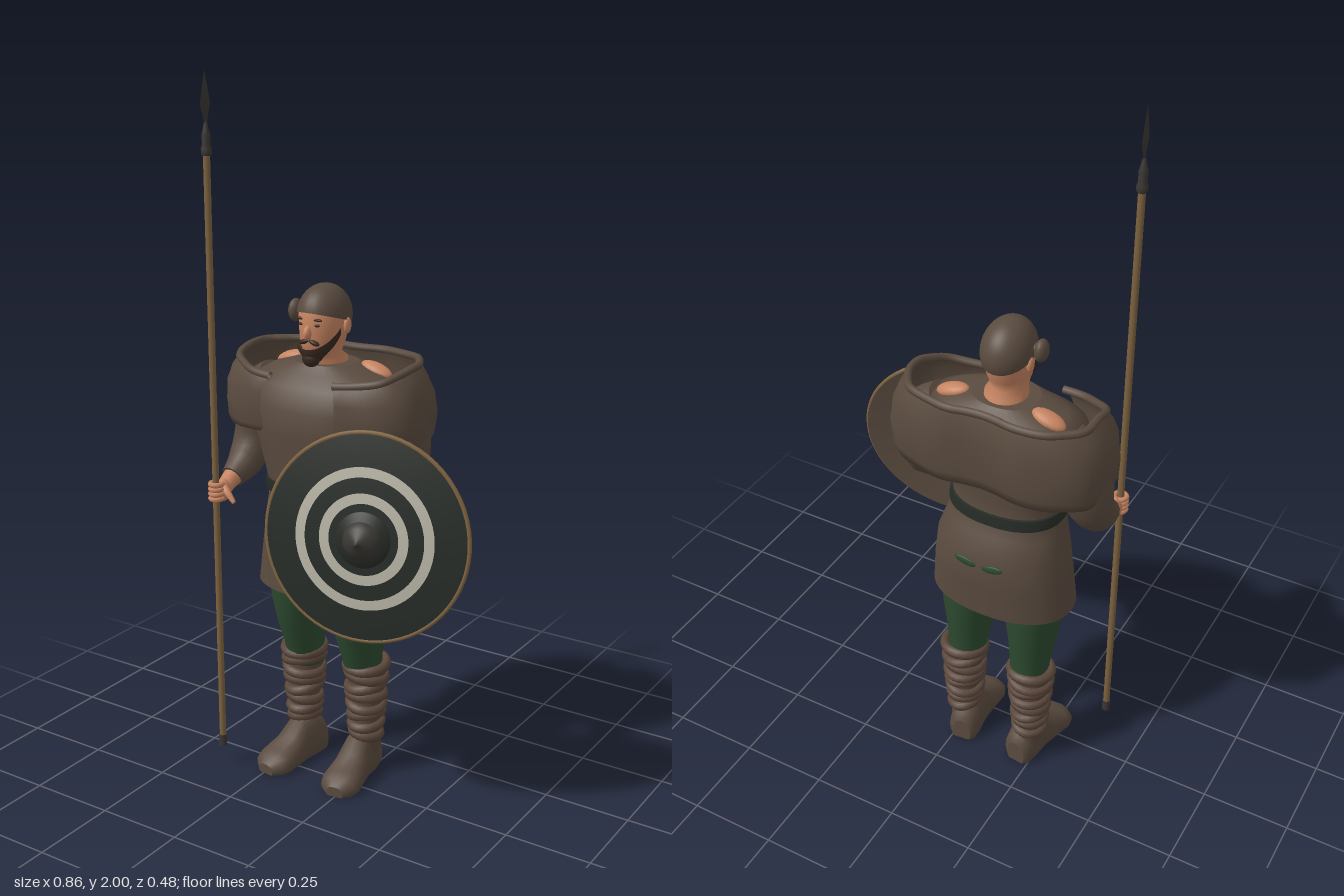
import * as THREE from 'three';

const V = (x, y, z) => new THREE.Vector3(x, y, z);
const CX = -0.122; // body centre line
const mat = (name, color, side = THREE.FrontSide) => {
  const m = new THREE.MeshStandardMaterial({ color, side });
  m.name = name;
  return m;
};

// Skin a list of rings (ordered along the path); caps both ends when closed.
function skin(rows, closed = true) {
  const pos = [], idx = [];
  const strip = (rs) => {
    const base = pos.length / 3, n = rs[0].length;
    rs.forEach((r) => r.forEach((p) => pos.push(p.x, p.y, p.z)));
    for (let i = 0; i < rs.length - 1; i++)
      for (let j = 0; j < (closed ? n : n - 1); j++) {
        const k = (j + 1) % n;
        const a = base + i * n + j, b = base + i * n + k;
        idx.push(a, b, b + n, a, b + n, a + n);
      }
  };
  const centre = (r) => {
    const c = r.reduce((s, p) => s.add(p), V(0, 0, 0)).divideScalar(r.length);
    return r.map(() => c.clone());
  };
  strip(rows);
  if (closed) {
    strip([centre(rows[0]), rows[0]]);
    const last = rows[rows.length - 1];
    strip([last, centre(last)]);
  }
  const g = new THREE.BufferGeometry();
  g.setAttribute('position', new THREE.Float32BufferAttribute(pos, 3));
  g.setIndex(idx);
  g.computeVertexNormals();
  return g;
}

// Horizontal rounded sections: [y, centre z, half width, half depth]
const pw = (v, p) => Math.sign(v) * Math.abs(v) ** p;
const loft = (x, secs, p = 1, n = 32) => skin(secs.map(([y, cz, rx, rz]) =>
  Array.from({ length: n }, (_, j) => {
    const a = (j / n) * Math.PI * 2;
    return V(x + rx * pw(Math.sin(a), p), y, cz + rz * pw(Math.cos(a), p));
  })));

// Round limb along a curve with varying radius
function limb(points, radii, steps = 16, n = 14) {
  const curve = new THREE.CatmullRomCurve3(points.map((p) => V(...p)));
  const rows = [];
  for (let i = 0; i <= steps; i++) {
    const t = i / steps, f = t * (radii.length - 1), k = Math.min(Math.floor(f), radii.length - 2);
    const r = THREE.MathUtils.lerp(radii[k], radii[k + 1], f - k);
    const c = curve.getPoint(t), T = curve.getTangent(t);
    const u = T.clone().cross(V(1, 0, 0)).normalize(), v = u.clone().cross(T);
    rows.push(Array.from({ length: n }, (_, j) => {
      const a = (j / n) * Math.PI * 2;
      return c.clone().addScaledVector(v, r * Math.cos(a)).addScaledVector(u, r * Math.sin(a));
    }));
  }
  return skin(rows);
}

const ball = (rx, ry, rz) => new THREE.SphereGeometry(1, 16, 12).scale(rx, ry, rz);
const lathe = (pts, n = 48) => new THREE.LatheGeometry(pts.map(([r, y]) => new THREE.Vector2(r, y)), n);

export function createModel() {
  const cloth = mat('brown cloth', 0x5a4b3f, THREE.DoubleSide);
  const wrapMat = mat('wrap brown', 0x5c483c);
  const skinMat = mat('skin', 0xc68461);
  const green = mat('green wool', 0x2d4a30);
  const dark = mat('dark paint', 0x272c27);
  const white = mat('pale paint', 0xb8b4a6);
  const wood = mat('wood', 0x7d623f);
  const hair = mat('dark hair', 0x38291f);
  const iron = mat('iron', 0x3a3733);

  const root = new THREE.Group();
  const add = (name, geo, m, x = 0, y = 0, z = 0, parent = root) => {
    const mesh = new THREE.Mesh(geo, m);
    mesh.name = name;
    mesh.position.set(x, y, z);
    parent.add(mesh);
    return mesh;
  };

  // Tunic and belt
  add('tunic', loft(CX, [
    [0.58, -0.062, 0.208, 0.137], [0.68, -0.068, 0.198, 0.138], [0.78, -0.07, 0.183, 0.143],
    [0.84, -0.052, 0.165, 0.125], [0.89, -0.04, 0.153, 0.118], [0.95, -0.036, 0.168, 0.122],
    [1.05, -0.036, 0.198, 0.13], [1.12, -0.045, 0.212, 0.138], [1.18, -0.06, 0.22, 0.125],
    [1.21, -0.07, 0.17, 0.1], [1.235, -0.065, 0.09, 0.075]], 0.88, 40), cloth);
  add('belt', loft(CX, [[0.872, -0.043, 0.165, 0.126], [0.885, -0.041, 0.166, 0.127],
    [0.905, -0.04, 0.163, 0.126]], 0.88, 40), dark);

  // Shoulder cape, open at the front, with a rolled rim
  const capeSecs = [[1.045, 0.27, 0.13], [1.02, 0.293, 0.15], [1.05, 0.305, 0.158], [1.11, 0.31, 0.162],
    [1.17, 0.302, 0.16], [1.215, 0.284, 0.152], [1.245, 0.262, 0.14]];
  const capeRows = capeSecs.map(([y, rx, rz], i) => Array.from({ length: 65 }, (_, j) => {
    const a = 0.27 + (j / 64) * (Math.PI * 2 - 0.54), s = Math.sin(a), c = Math.cos(a);
    const fold = 1 + 0.012 * Math.sin(9 * a + 25 * y);
    const notch = c < 0 ? 1 - 0.13 * Math.exp(-((s / 0.16) ** 2)) : 1;
    return V(CX + rx * fold * pw(s, 0.72), y + THREE.MathUtils.lerp(0.04, -0.045, i / 6) * Math.max(0, c),
      -0.075 + rz * fold * notch * pw(c, 0.72));
  }));
  add('cape', skin(capeRows, false), cloth);
  add('capeRim', new THREE.TubeGeometry(new THREE.CatmullRomCurve3(capeRows[6]), 96, 0.011, 7), cloth);

  // Head
  add('head', loft(CX, [[1.19, -0.07, 0.062, 0.065], [1.245, -0.065, 0.056, 0.06], [1.26, -0.045, 0.046, 0.06],
    [1.29, -0.046, 0.056, 0.07], [1.33, -0.052, 0.062, 0.079], [1.37, -0.053, 0.063, 0.081],
    [1.41, -0.055, 0.052, 0.068]]), skinMat);
  add('cap', new THREE.SphereGeometry(1, 28, 14, 0, Math.PI * 2, 0, 1.66).scale(0.069, 0.085, 0.089),
    cloth, CX, 1.362, -0.055).rotation.x = -0.3;
  add('capKnot', ball(0.018, 0.032, 0.026), cloth, -0.203, 1.368, -0.035);
  add('capKnotTie', ball(0.016, 0.012, 0.014), cloth, -0.187, 1.375, -0.04);
  add('nose', ball(0.011, 0.021, 0.017), skinMat, CX, 1.326, 0.025).rotation.x = -0.3;
  // Beard shell hugging the jaw, rising to the ears
  add('beard', skin([0, 0.33, 0.66, 1].map((t) => Array.from({ length: 25 }, (_, j) => {
    const a = -1.5 + j / 8, side = (a / 1.5) ** 2;
    const y = THREE.MathUtils.lerp(1.236 + 0.045 * side, 1.281 + 0.055 * side, t);
    const r = [0.03, 0.05, 0.06, 0.06][Math.round(t * 3)];
    return V(CX + (r + 0.005 * side) * Math.sin(a), y, -0.04 + (r + 0.015) * Math.cos(a));
  })), false), hair);
  add('beardTip', ball(0.026, 0.024, 0.022), hair, CX, 1.254, 0.012);

  const limbs = [-1, 1];
  for (const s of limbs) {
    const X = (d) => CX + s * d;
    const side = s > 0 ? 'left' : 'right';
    // Face details
    add(side + 'Moustache', ball(0.018, 0.007, 0.01), hair, X(0.015), 1.3, 0.02).rotation.z = -0.35 * s;
    add(side + 'Eye', ball(0.01, 0.004, 0.004), hair, X(0.024), 1.347, 0.02);
    add(side + 'Brow', ball(0.016, 0.004, 0.005), hair, X(0.026), 1.362, 0.02);
    add(side + 'Ear', ball(0.009, 0.023, 0.014), skinMat, X(0.066), 1.338, -0.065);

    // Bare skin showing on the shoulder, and green showing on the back of the tunic
    add(side + 'ShoulderSkin', ball(0.049, 0.019, 0.027), skinMat, X(0.138), 1.217, -0.098).rotation.z = -0.3 * s;
    add(side + 'BackPatch', ball(0.032, 0.012, 0.005), green, X(0.04), 0.765, -0.212).rotation.z = 0.2 * s;

    // Arm and hand
    add(side + 'Sleeve', limb([[X(0.17), 1.16, -0.075], [X(0.225), 1.1, -0.08], [X(0.248), 0.98, -0.07],
      [X(0.253), 0.915, -0.025], [X(0.256), 0.88, 0.035]], [0.06, 0.078, 0.064, 0.052, 0.034]), cloth);
    add(side + 'Forearm', limb([[X(0.255), 0.89, 0.015], [X(0.257), 0.872, 0.05], [X(0.252), 0.86, 0.08]],
      [0.03, 0.026, 0.022], 8), skinMat);
    add(side + 'Palm', ball(0.022, 0.033, 0.022), skinMat, X(0.252), 0.855, 0.085);
    for (let k = 0; k < 4; k++)
      add(side + 'Finger', new THREE.TorusGeometry(0.017, 0.0075, 6, 14).rotateX(Math.PI / 2),
        skinMat, X(0.258), 0.836 + k * 0.014, 0.108);
    add(side + 'Thumb', limb([[X(0.245), 0.865, 0.09], [X(0.222), 0.852, 0.1], [X(0.2), 0.832, 0.105]],
      [0.013, 0.01, 0.006], 6, 8), skinMat);

    // Leg, wrapped shin and boot
    add(side + 'Trouser', loft(CX, [[0.3, -0.1, 0.052, 0.052], [0.37, -0.09, 0.056, 0.066],
      [0.44, -0.078, 0.064, 0.082], [0.52, -0.072, 0.075, 0.097], [0.62, -0.068, 0.085, 0.104],
      [0.72, -0.065, 0.085, 0.1]]).translate(s * 0.1, 0, 0), green);
    add(side + 'Shin', loft(X(0.108), [[0.07, -0.1, 0.04, 0.045], [0.16, -0.1, 0.042, 0.046],
      [0.26, -0.102, 0.052, 0.052], [0.35, -0.1, 0.061, 0.058]]), wrapMat);
    for (let k = 0; k < 8; k++) {
      const r = 0.041 + 0.0026 * k;
      const loop = add(side + 'LegWrap', new THREE.TorusGeometry(r, 0.013, 7, 22).rotateX(Math.PI / 2)
        .scale(1, 1.2, 1 + 0.012 * (7 - k)), wrapMat, X(0.108), 0.125 + k * 0.031, -0.1);
      loop.rotation.set(k % 2 ? 0.1 : -0.08, 0, s * (k % 3 - 1) * 0.17);
    }
    const boot = [[-0.1, 0.028, 0.07], [-0.09, 0.042, 0.1], [-0.05, 0.047, 0.135], [0, 0.045, 0.128],
      [0.045, 0.052, 0.085], [0.1, 0.06, 0.06], [0.125, 0.052, 0.05], [0.145, 0.026, 0.03]];
    add(side + 'Boot', skin(boot.map(([z, w, h]) => Array.from({ length: 20 }, (_, j) => {
      const a = (j / 20) * Math.PI * 2;
      return V(-w * pw(Math.sin(a), 0.8), h * Math.max(0, 0.35 + 0.65 * Math.cos(a)), z);
    }))), cloth, X(0.103), 0, -0.055).rotation.y = s * 0.12;
  }

  // Spear
  const spear = new THREE.Group();
  spear.name = 'spear';
  spear.position.set(-0.38, 0, 0.11);
  root.add(spear);
  add('shaft', new THREE.CylinderGeometry(0.0095, 0.0095, 1.72, 12), wood, 0, 0.95, 0, spear);
  add('buttCap', new THREE.CylinderGeometry(0.0115, 0.0115, 0.035, 12), iron, 0, 0.082, 0, spear);
  add('socket', lathe([[0.012, 1.782], [0.0145, 1.788], [0.0145, 1.8], [0.011, 1.81], [0.012, 1.835],
    [0.008, 1.85], [0.004, 1.87]], 12), iron, 0, 0, 0, spear);
  const blade = lathe([[0.003, 1.855], [0.01, 1.88], [0.021, 1.913], [0.012, 1.955], [0, 2]], 4)
    .scale(0.3, 1, 1).toNonIndexed();
  blade.computeVertexNormals();
  add('blade', blade, iron, 0, 0, 0, spear);

  // Round shield, painted in concentric bands, built facing local +z
  const shield = new THREE.Group();
  shield.name = 'shield';
  shield.position.set(0.147, 0.843, 0.16);
  shield.rotation.set(-0.12, 0.232, 0, 'YXZ');
  root.add(shield);
  const disc = (name, pts, m) => add(name, lathe(pts, 64).rotateX(Math.PI / 2), m, 0, 0, 0, shield);
  const dome = (r) => 0.022 * (1 - (r / 0.28) ** 2) + 0.004;
  const radii = [0.276, 0.19, 0.163, 0.122, 0.095, 0.04];
  for (let i = 0; i < 5; i++) {
    const pts = [0, 0.25, 0.5, 0.75, 1].map((t) => THREE.MathUtils.lerp(radii[i], radii[i + 1], t));
    disc(i % 2 ? 'paleBand' : 'darkBand', pts.map((r) => [r, dome(r)]), i % 2 ? white : dark);
  }
  disc('shieldBack', [0, 0.1, 0.2, 0.277].map((r) => [r, dome(r) - 0.012]), cloth);
  add('shieldRim', new THREE.TorusGeometry(0.277, 0.0065, 8, 64), wood, 0, 0, 0, shield);
  disc('bossFlange', [[0.075, 0.02], [0.074, 0.03], [0.05, 0.04]], dark);
  disc('boss', [[0.052, 0.036], [0.048, 0.048], [0.036, 0.06], [0.02, 0.069], [0.009, 0.076], [0, 0.088]], iron);
  add('shieldGrip', new THREE.TubeGeometry(new THREE.CatmullRomCurve3([V(0, -0.075, 0.01), V(0, -0.07, -0.035),
    V(0, -0.045, -0.05), V(0, 0.065, -0.05), V(0, 0.09, -0.035), V(0, 0.095, 0.01)]), 32, 0.008, 8),
    wood, 0, 0, 0, shield);

  return root;
}
